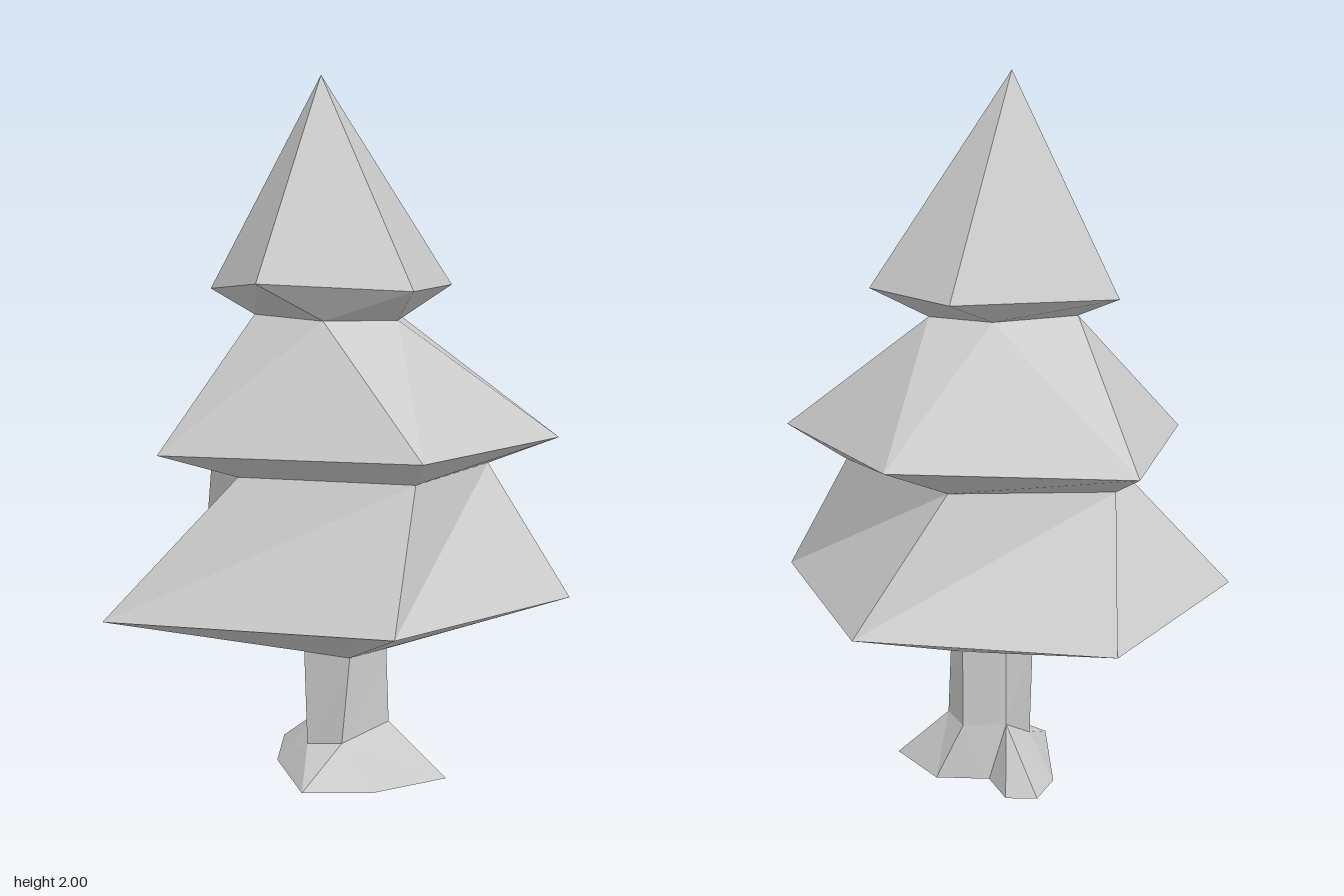
import * as THREE from 'three';

// Five-sided cross-sections, corners ordered left, front, right, back right, back
const trunkFoot = [[-0.02, 0.10, 0.02], [0.035, 0.125, 0.125], [0.2, 0.16, 0.11], [0.195, 0.16, -0.02], [0.08, 0.165, -0.065]];
const trunkTop = [[-0.03, 0.38, 0.02], [0.06, 0.375, 0.125], [0.19, 0.38, 0.11], [0.195, 0.38, -0.02], [0.08, 0.38, -0.065]];
const lowSkirt = [[-0.61, 0.525, -0.07], [-0.12, 0.595, 0.66], [0.59, 0.56, 0.44], [0.595, 0.555, -0.365], [-0.02, 0.535, -0.66]];
const lowNeck = [[-0.26, 0.92, 0.065], [0.07, 0.935, 0.45], [0.47, 0.915, 0.2], [0.32, 0.91, -0.31], [-0.12, 0.9, -0.39]];
const midSkirt = [[-0.475, 0.99, 0.01], [-0.025, 1.03, 0.635], [0.61, 1.0, 0.345], [0.515, 0.995, -0.405], [-0.1, 0.975, -0.6]];
const midNeck = [[-0.11, 1.34, -0.125], [-0.07, 1.35, 0.2], [0.165, 1.34, 0.2], [0.285, 1.34, -0.02], [0.16, 1.34, -0.2]];
const topSkirt = [[-0.16, 1.40, -0.305], [-0.256, 1.455, 0.17], [0.108, 1.435, 0.37], [0.43, 1.415, 0.06], [0.31, 1.40, -0.305]];
const apex = Array(5).fill([0.045, 2, -0.02]);

// Outline of the spreading roots on the ground, with a notch at the back right
const roots = [[-0.13, 0.03, 0.19], [0.08, 0, 0.22], [0.32, 0.005, 0.235], [0.27, 0.005, 0],
  [0.13, 0.005, -0.06], [0.13, 0.005, -0.21], [0.06, 0.02, -0.275], [-0.04, 0.005, -0.13]];

export function createModel() {
  const group = new THREE.Group();
  const grey = new THREE.MeshStandardMaterial({ color: 0xcccccc, flatShading: true });
  grey.name = 'light grey';

  const addMesh = (name, corners) => {
    const geometry = new THREE.BufferGeometry();
    geometry.setAttribute('position', new THREE.Float32BufferAttribute(corners.flat(), 3));
    geometry.computeVertexNormals();
    const mesh = new THREE.Mesh(geometry, grey);
    mesh.name = name;
    group.add(mesh);
  };

  // Skin consecutive rings from bottom to top
  const loft = (name, ...rings) => {
    const corners = [];
    for (let r = 0; r < rings.length - 1; r++) {
      const low = rings[r], high = rings[r + 1];
      for (let i = 0; i < 5; i++) {
        const j = (i + 1) % 5;
        corners.push(low[i], low[j], high[j]);
        if (high[i] !== high[j]) corners.push(low[i], high[j], high[i]);
      }
    }
    addMesh(name, corners);
  };

  loft('trunk', trunkFoot, trunkTop);
  loft('lowerFoliage', trunkTop, lowSkirt, lowNeck);
  loft('middleFoliage', lowNeck, midSkirt, midNeck);
  loft('upperFoliage', midNeck, topSkirt, apex);

  // Roots: each ground edge rises to one trunk corner
  const corners = [];
  const owner = [1, 1, 2, 3, 4, 4, 4, 0];
  const centre = [0.08, 0.01, 0.05];
  roots.forEach((p, i) => {
    const next = (i + 1) % roots.length;
    const q = roots[next];
    const top = trunkFoot[owner[i]], nextTop = trunkFoot[owner[next]];
    corners.push(p, q, top);
    if (top !== nextTop) corners.push(q, nextTop, top);
    corners.push(q, p, centre);
  });
  addMesh('roots', corners);

  return group;
}
